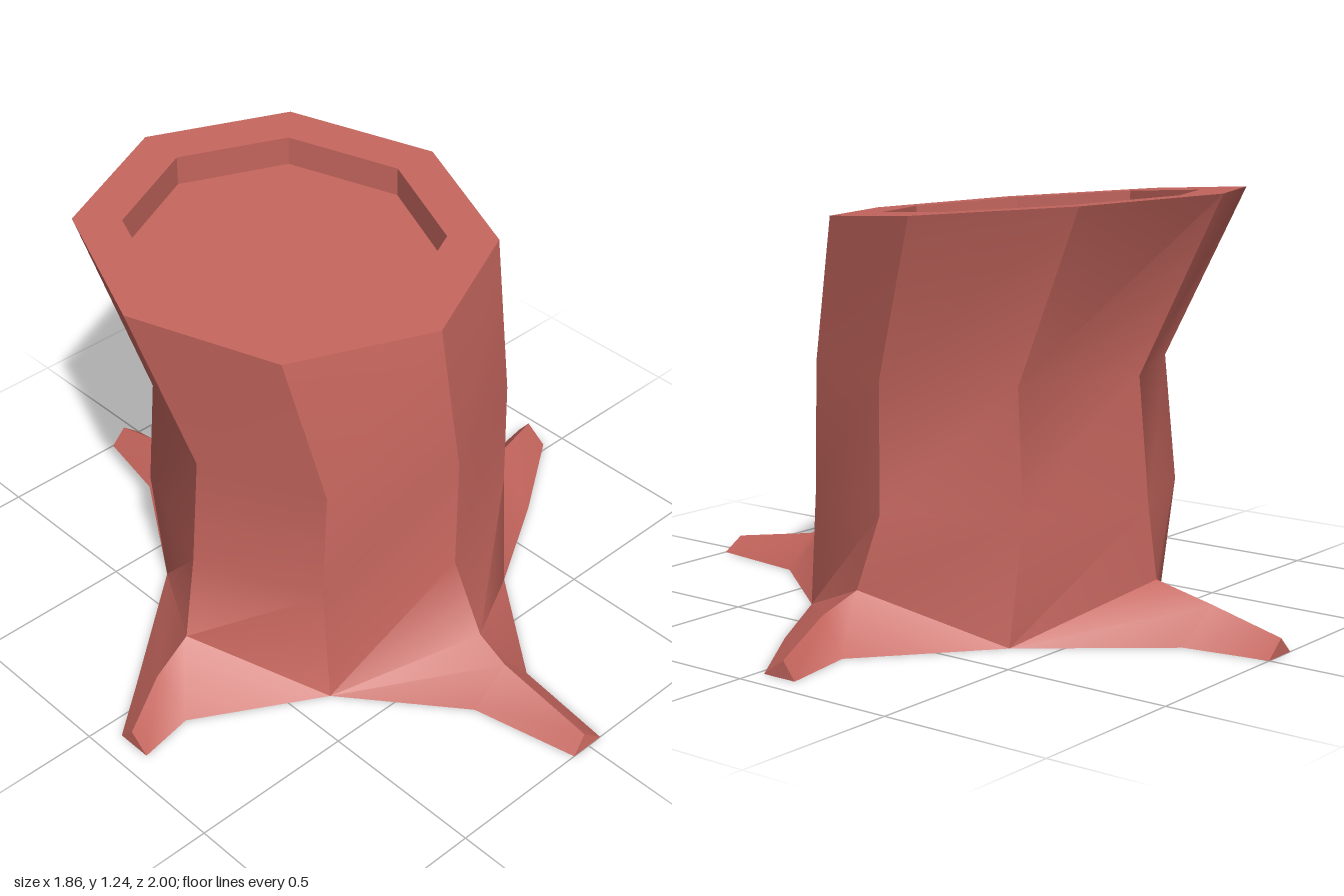
import * as THREE from 'three';
import { toCreasedNormals } from 'three/addons/utils/BufferGeometryUtils.js';

const SIDES = 8;
const CREASE = 0.7;

// Octagonal ring, starting at the front and turning toward +x
function ring(cx, cz, r, twist, height) {
  return Array.from({ length: SIDES }, (_, k) => {
    const a = (k / SIDES) * Math.PI * 2 + twist;
    const x = cx + r * Math.sin(a), z = cz + r * Math.cos(a);
    return [x, height(z), z];
  });
}

// Collects triangles and quads, corners counter-clockwise from outside
class Faces {
  constructor() { this.data = []; }
  tri(a, b, c) { this.data.push(...a, ...b, ...c); }
  quad(a, b, c, d) { this.tri(a, b, c); this.tri(a, c, d); }
  band(low, high) {
    for (let k = 0; k < SIDES; k++) {
      const n = (k + 1) % SIDES;
      this.quad(low[k], low[n], high[n], high[k]);
    }
  }
  mesh(name, material) {
    let g = new THREE.BufferGeometry();
    g.setAttribute('position', new THREE.Float32BufferAttribute(this.data, 3));
    g = toCreasedNormals(g, CREASE);
    const m = new THREE.Mesh(g, material);
    m.name = name;
    return m;
  }
}

// Roots: front, +x, back, -x. Each section is [side, ridge, side] as [x, y, z]
const ROOTS = [
  { base: [-0.01, 0.15, 0.58],
    neck: [[-0.13, 0, 0.68], [-0.01, 0.10, 0.68], [0.09, 0, 0.68]],
    tip: [[-0.06, 0, 1], [-0.01, 0.045, 0.99], [0.05, 0, 1]] },
  { base: [0.56, 0.15, -0.02],
    neck: [[0.65, 0, 0.17], [0.68, 0.10, 0], [0.70, 0, -0.09]],
    tip: [[0.93, 0, -0.02], [0.93, 0.05, -0.09], [0.93, 0, -0.13]] },
  { base: [-0.05, 0.15, -0.60],
    neck: [[0.04, 0, -0.75], [-0.06, 0.105, -0.78], [-0.16, 0, -0.75]],
    tip: [[0, 0, -1], [-0.06, 0.05, -1], [-0.11, 0, -1]] },
  { base: [-0.63, 0.15, 0],
    neck: [[-0.77, 0, -0.07], [-0.76, 0.09, 0.02], [-0.76, 0, 0.14]],
    tip: [[-0.93, 0, 0.06], [-0.93, 0.05, 0.11], [-0.93, 0, 0.17]] },
];

export function createModel() {
  const group = new THREE.Group();
  group.name = 'treeStump';
  const wood = new THREE.MeshStandardMaterial({ color: 0xc4655d });
  wood.name = 'redWood';

  // Trunk rings; the cut at the top is tilted
  const cut = z => 1.174 - 0.084 * z;
  const top = ring(-0.04, -0.195, 0.598, 0.025, cut);
  const middle = ring(-0.03, -0.03, 0.512, 0.015, () => 0.725);
  const lower = ring(-0.018, -0.058, 0.53, 0.01, () => 0.36);
  const foot = ring(-0.025, -0.015, 0.52, 0, () => 0);
  ROOTS.forEach((root, i) => { foot[i * 2] = root.base; });

  const bark = new Faces();
  bark.band(middle, top);
  bark.band(lower, middle);
  bark.band(foot, lower);

  // Roots: ridged wedges narrowing from the foot to a small tip
  ROOTS.forEach(({ base, neck, tip }, i) => {
    const prev = foot[(i * 2 + 7) % SIDES], next = foot[i * 2 + 1];
    const [nl, nm, nr] = neck, [tl, tm, tr] = tip;
    bark.quad(prev, nl, nm, base);
    bark.quad(nl, tl, tm, nm);
    bark.quad(nr, next, base, nm);
    bark.quad(tr, nr, nm, tm);
    bark.tri(tl, tr, tm);
    // underside
    bark.quad(next, nr, nl, prev);
    bark.quad(nr, tr, tl, nl);
  });
  bark.quad(foot[7], foot[5], foot[3], foot[1]);
  group.add(bark.mesh('trunkAndRoots', wood));

  // Rim around the cut
  const inner = ring(-0.04, -0.2, 0.455, 0.025, cut);
  const rim = new Faces();
  rim.band(top, inner);
  group.add(rim.mesh('cutRim', wood));

  // Shallow hollow inside the rim
  const floor = inner.map(([x, y, z]) => [x, y - 0.09, z]);
  const hollow = new Faces();
  hollow.band(inner, floor);
  for (let k = 1; k < SIDES - 1; k++) hollow.tri(floor[0], floor[k], floor[k + 1]);
  group.add(hollow.mesh('hollow', wood));

  return group;
}
